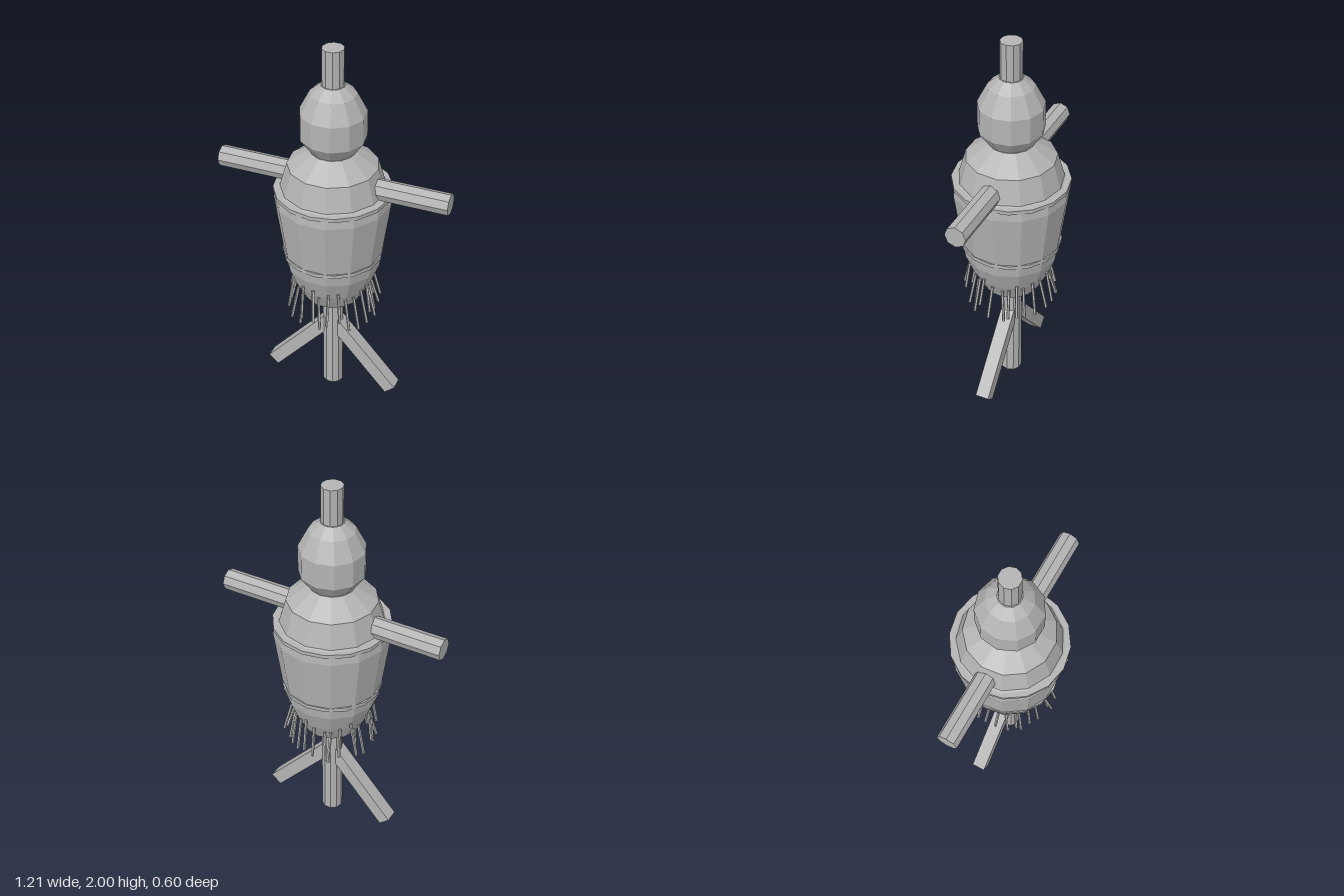
import * as THREE from 'three';

const grey = new THREE.MeshStandardMaterial({ color: 0xb4b4b4, flatShading: true });
grey.name = 'plain grey';

export function createModel() {
  const model = new THREE.Group();
  model.name = 'scarecrow';

  const add = (name, geometry, x = 0, y = 0, z = 0) => {
    const mesh = new THREE.Mesh(geometry, grey);
    mesh.name = name;
    mesh.position.set(x, y, z);
    model.add(mesh);
    return mesh;
  };
  // Faceted turned shape, with a corner at the back
  const turned = (name, profile, sides) =>
    add(name, new THREE.LatheGeometry(profile.map(([r, y]) => new THREE.Vector2(r, y)), sides, Math.PI));

  // Upright pole running through everything
  add('pole', new THREE.CylinderGeometry(0.055, 0.055, 2, 10), 0, 1, 0).rotation.y = Math.PI / 10;

  // Stuffed torso and head
  turned('torso', [[0, 0.59], [0.148, 0.59], [0.2, 0.69], [0.243, 0.8], [0.253, 0.87],
    [0.296, 1.18], [0.29, 1.235], [0.264, 1.25], [0.228, 1.375], [0.115, 1.455], [0, 1.455]], 13);
  turned('head', [[0, 1.455], [0.113, 1.455], [0.166, 1.53], [0.166, 1.665],
    [0.115, 1.765], [0.06, 1.81], [0, 1.81]], 11);

  // Bands around chest and waist
  add('chestBand', new THREE.CylinderGeometry(0.298, 0.298, 0.02, 16), 0, 1.235, 0);
  add('waistBand', new THREE.CylinderGeometry(0.258, 0.258, 0.02, 16), 0, 0.87, 0);

  for (const side of [1, -1]) {
    const label = side > 0 ? 'left' : 'right';
    // Arm stub
    add(label + 'Arm', new THREE.CylinderGeometry(0.055, 0.055, 0.405, 8), side * 0.4025, 1.283, 0)
      .rotation.z = Math.PI / 2;
    // Sloping brace at the foot of the pole
    add(label + 'Brace', new THREE.BoxGeometry(0.07, 0.5, 0.072), side * 0.175, 0.225, 0)
      .rotation.z = side * 0.723;
  }

  // Straw poking out around the hem
  let seed = 7;
  const random = () => (seed = (seed * 16807) % 2147483647) / 2147483647;
  const straw = new THREE.Group();
  straw.name = 'straw';
  model.add(straw);
  const up = new THREE.Vector3(0, 1, 0);
  const count = 30;
  for (let i = 0; i < count; i++) {
    const angle = ((i + random() * 0.6) / count) * Math.PI * 2;
    const twist = angle + (random() - 0.5) * 0.16;
    const topY = 0.66 + random() * 0.08;
    const topR = 0.19 + (topY - 0.66) * 0.35;
    const bottomR = topR + 0.02 + random() * 0.025;
    const top = new THREE.Vector3(Math.sin(angle) * topR, topY, Math.cos(angle) * topR);
    const bottom = new THREE.Vector3(Math.sin(twist) * bottomR,
      topY - 0.15 - random() * 0.04, Math.cos(twist) * bottomR);
    const along = top.clone().sub(bottom);
    const strand = new THREE.Mesh(new THREE.CylinderGeometry(0.008, 0.008, along.length(), 5), grey);
    strand.name = 'strawStrand';
    strand.position.copy(top).add(bottom).multiplyScalar(0.5);
    strand.quaternion.setFromUnitVectors(up, along.normalize());
    straw.add(strand);
  }

  return model;
}
